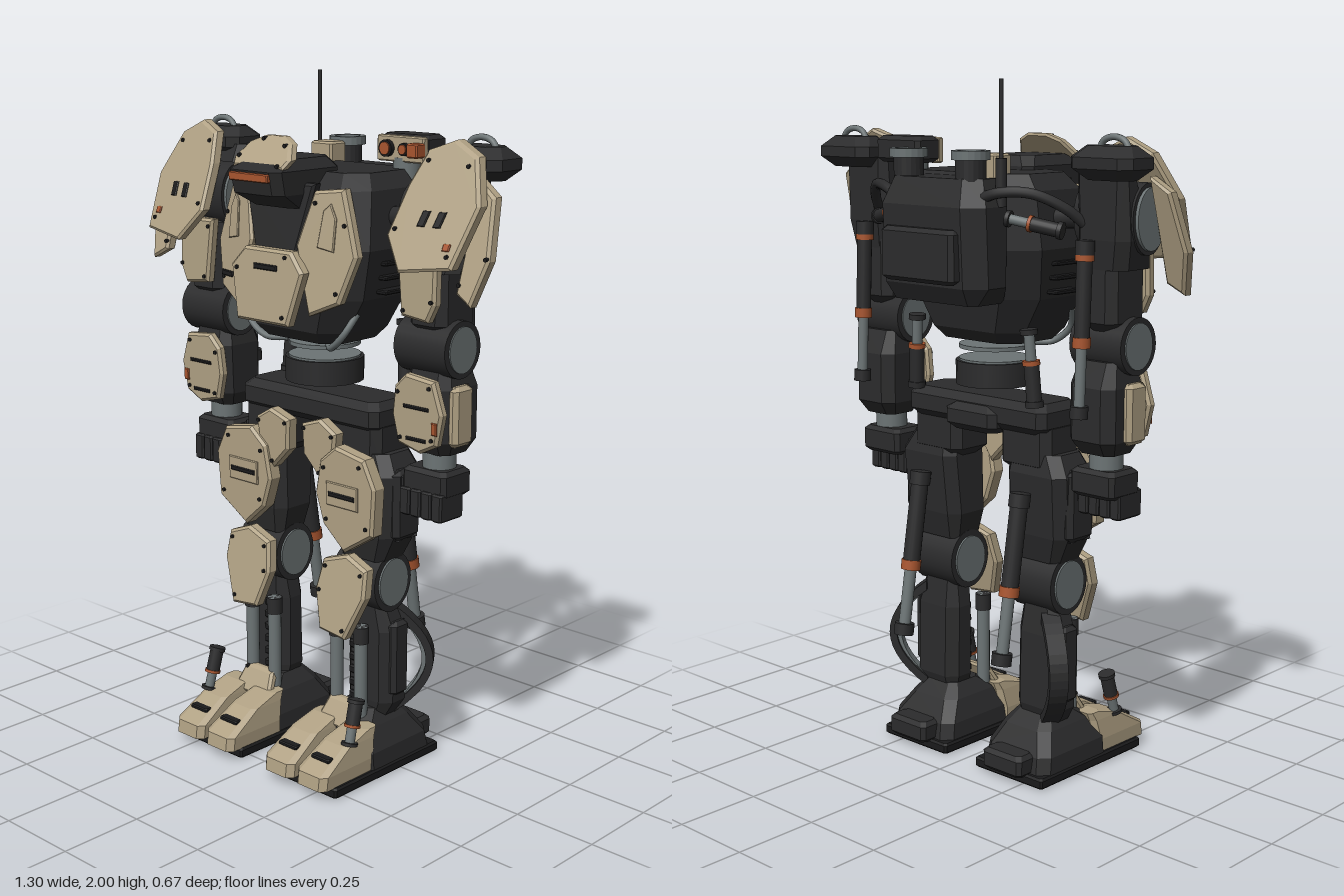
import * as THREE from 'three';

const paint = (name, color) => {
  const m = new THREE.MeshStandardMaterial({ color });
  m.name = name;
  return m;
};
const V = (x, y, z) => new THREE.Vector3(x, y, z);

// Stack of octagonal sections [y, centreX, halfWidth, zBack, zFront, cornerCut]
function loft(sections) {
  const rings = sections.map(([y, cx, h, a, b, c]) =>
    [[h, a + c], [h, b - c], [h - c, b], [c - h, b], [-h, b - c], [-h, a + c], [c - h, a], [h - c, a]]
      .map(([x, z]) => [cx + x, y, z]));
  const pos = [];
  const tri = (...p) => p.forEach((q) => pos.push(...q));
  const mid = ([y, cx, , a, b]) => [cx, y, (a + b) / 2];
  const last = rings.length - 1;
  for (let i = 0; i < 8; i++) {
    const j = (i + 1) % 8;
    for (let k = 0; k < last; k++) {
      const lo = rings[k], hi = rings[k + 1];
      tri(lo[i], hi[i], hi[j]);
      tri(lo[i], hi[j], lo[j]);
    }
    tri(mid(sections[0]), rings[0][i], rings[0][j]);
    tri(mid(sections[last]), rings[last][j], rings[last][i]);
  }
  const g = new THREE.BufferGeometry();
  g.setAttribute('position', new THREE.Float32BufferAttribute(pos, 3));
  g.computeVertexNormals();
  return g;
}

// Box with chamfered edges, given by its limits
function block(x0, x1, y0, y1, z0, z1, c = 0.012) {
  const cx = (x0 + x1) / 2, h = (x1 - x0) / 2;
  return loft([[y0, cx, h - c, z0 + c, z1 - c, c], [y0 + c, cx, h, z0, z1, c],
    [y1 - c, cx, h, z0, z1, c], [y1, cx, h - c, z0 + c, z1 - c, c]]);
}

// Cylinder between two points
function rod(a, b, r, sides = 18) {
  const d = b.clone().sub(a);
  const g = new THREE.CylinderGeometry(r, r, d.length(), sides);
  g.applyQuaternion(new THREE.Quaternion().setFromUnitVectors(V(0, 1, 0), d.normalize()));
  const m = a.clone().add(b).multiplyScalar(0.5);
  return g.translate(m.x, m.y, m.z);
}

// Oval joint drum lying along x at z = 0
const drum = (x0, x1, y, ry, rz) => rod(V(x0, 0, 0), V(x1, 0, 0), 1, 24).scale(1, ry, rz).translate(0, y, 0);

const hose = (points, r) =>
  new THREE.TubeGeometry(new THREE.CatmullRomCurve3(points.map((p) => V(...p))), 24, r, 10);

// Plane for a leaning plate: z from two heights, plus a sideways sweep
const lean = (y0, z0, y1, z1, cx = 0, k = 0) => (x, y) => z0 + (z1 - z0) * (y - y0) / (y1 - y0) + k * (x - cx);

// Bevelled plate with a front outline, laid on a leaning plane
function plateGeo(pts, zAt, t) {
  const b = Math.min(0.008, t / 3);
  const g = new THREE.ExtrudeGeometry(new THREE.Shape(pts.map(([x, y]) => new THREE.Vector2(x, y))),
    { depth: t - 2 * b, bevelThickness: b, bevelSize: b, bevelOffset: -b, bevelSegments: 1 });
  const p = g.attributes.position;
  for (let i = 0; i < p.count; i++) p.setZ(i, p.getZ(i) + b + zAt(p.getX(i), p.getY(i)));
  g.computeVertexNormals();
  return g;
}

// Curved guard bowed outwards and backwards behind the calf
function crescent(outer, inner, width) {
  const s = new THREE.Shape();
  s.moveTo(0, 0.49).quadraticCurveTo(outer, 0.325, 0, 0.15).lineTo(0, 0.18).quadraticCurveTo(inner, 0.325, 0, 0.46);
  return new THREE.ExtrudeGeometry(s, { depth: width, bevelEnabled: false, curveSegments: 14 })
    .translate(0, 0, -width / 2).rotateY(0.62).translate(0.25, 0, -0.045);
}

// Copy reflected in x, with its corners reordered
function mirrored(geo) {
  const g = geo.index ? geo.toNonIndexed() : geo.clone();
  g.scale(-1, 1, 1);
  for (const a of Object.values(g.attributes)) {
    const n = a.itemSize;
    for (let i = 0; i < a.count; i += 3) for (let k = 0; k < n; k++) {
      const p = (i + 1) * n + k, q = p + n, s = a.array[p];
      a.array[p] = a.array[q];
      a.array[q] = s;
    }
  }
  return g;
}

const rect = (x, y, w, h) => [[x - w / 2, y - h / 2], [x + w / 2, y - h / 2], [x + w / 2, y + h / 2], [x - w / 2, y + h / 2]];
const symmetric = (half) => [...half, ...half.map(([x, y]) => [-x, y]).reverse()];

export function createModel() {
  const root = new THREE.Group();
  root.name = 'walkerRobot';
  const tan = paint('tan armour', 0xb0a184), dark = paint('dark frame', 0x2b2b2c),
    black = paint('black trim', 0x1b1b1c), steel = paint('steel', 0x6c7475), orange = paint('orange', 0xa8552f);

  const one = (name, geo, mat) => {
    const m = new THREE.Mesh(geo, mat);
    m.name = name;
    root.add(m);
  };
  const two = (name, geo, mat) => {
    one(name + 'Left', geo, mat);
    one(name + 'Right', mirrored(geo), mat);
  };
  // Armour plate with bolts near alternate corners
  const armour = (put, name, pts, zAt, t) => {
    put(name, plateGeo(pts, zAt, t), tan);
    const cx = pts.reduce((s, p) => s + p[0], 0) / pts.length, cy = pts.reduce((s, p) => s + p[1], 0) / pts.length;
    pts.forEach(([px, py], i) => {
      if (i % 2) return;
      const x = cx + (px - cx) * 0.8, y = cy + (py - cy) * 0.8, z = zAt(x, y) + t;
      put(name + 'Bolt', rod(V(x, y, z - 0.01), V(x, y, z + 0.005), 0.006, 8), black);
    });
  };
  // Thin painted mark on the face of a plate
  const mark = (put, name, pts, zAt, t, mat) => put(name, plateGeo(pts, (x, y) => zAt(x, y) + t - 0.003, 0.008), mat);
  // Sleeve, ring, rod and end caps along one line
  const piston = (name, a, b, r) => {
    const at = (t) => V(...a).lerp(V(...b), t);
    two(name + 'Sleeve', rod(at(0), at(0.55), r), dark);
    two(name + 'Ring', rod(at(0.54), at(0.6), r * 1.15), orange);
    two(name + 'Rod', rod(at(0.58), at(0.97), r * 0.7), steel);
    two(name + 'Cap', rod(at(0), at(0.08), r * 1.2), dark);
    two(name + 'Cap', rod(at(0.93), at(1), r * 1.15), dark);
  };

  // Torso
  one('torso', loft([[1.265, 0, 0.15, -0.11, 0.12, 0.05], [1.3, 0, 0.18, -0.14, 0.15, 0.06],
    [1.4, 0, 0.24, -0.165, 0.17, 0.08], [1.54, 0, 0.268, -0.18, 0.165, 0.07],
    [1.7, 0, 0.25, -0.175, 0.13, 0.06], [1.745, 0, 0.215, -0.155, 0.09, 0.05]]), dark);
  one('throat', plateGeo(symmetric([[0.08, 1.52], [0.135, 1.72]]), lean(1.52, 0.16, 1.72, 0.14), 0.035), dark);
  const chestZ = lean(1.38, 0.178, 1.71, 0.135, 0.12, -0.27);
  armour(two, 'chestPlate', [[0.125, 1.7], [0.215, 1.71], [0.24, 1.63], [0.27, 1.53], [0.23, 1.4], [0.14, 1.36],
    [0.11, 1.46], [0.085, 1.55]], chestZ, 0.035);
  mark(two, 'chestPanel', [[0.155, 1.55], [0.205, 1.54], [0.205, 1.63], [0.185, 1.67], [0.165, 1.65]], chestZ, 0.037, tan);
  mark(one, 'chestSlot', rect(-0.2, 1.44, 0.06, 0.016), (x, y) => chestZ(-x, y), 0.035, black);
  const bellyZ = lean(1.33, 0.212, 1.54, 0.185);
  armour(one, 'bellyPlate', symmetric([[0.1, 1.33], [0.14, 1.48], [0.09, 1.535]]), bellyZ, 0.038);
  mark(one, 'bellySlot', rect(0, 1.485, 0.09, 0.016), bellyZ, 0.038, black);
  two('bellyHose', hose([[0.21, 1.36, 0.08], [0.185, 1.3, 0.11], [0.13, 1.255, 0.1], [0.08, 1.25, 0.06]], 0.01), steel);
  for (const y of [1.42, 1.46, 1.5]) two('sideLouvre', block(0.235, 0.279, y - 0.006, y + 0.006, -0.06, 0.04, 0.003), black);

  // Head
  one('head', loft([[1.65, 0, 0.085, 0.02, 0.2, 0.02], [1.69, 0, 0.098, 0.02, 0.275, 0.025],
    [1.755, 0, 0.1, 0.02, 0.29, 0.025], [1.785, 0, 0.08, 0.04, 0.23, 0.03]]), dark);
  one('visor', block(-0.075, 0.075, 1.726, 1.75, 0.28, 0.297, 0.003), orange);
  armour(one, 'brow', symmetric([[0.095, 1.76], [0.108, 1.785], [0.08, 1.825], [0.035, 1.843]]), lean(1.76, 0.23, 1.843, 0.16), 0.035);

  // Backpack with open exhausts
  one('backpack', loft([[1.39, 0, 0.16, -0.27, -0.13, 0.02], [1.44, 0, 0.2, -0.3, -0.13, 0.05],
    [1.66, 0, 0.2, -0.31, -0.13, 0.05], [1.735, 0, 0.17, -0.28, -0.13, 0.04]]), dark);
  one('backpackHatch', block(-0.14, 0.14, 1.45, 1.6, -0.335, -0.29), dark);
  const ringGeo = (r0, r1, y0, y1) => new THREE.LatheGeometry(
    [[r0, y0], [r1, y0], [r1, y1], [r0, y1], [r0, y0]].map(([r, y]) => new THREE.Vector2(r, y)), 20)
    .toNonIndexed().translate(0.12, 0, -0.235);
  for (const [name, r0, r1, y0, y1, mat] of [['exhaustPipe', 0.036, 0.043, 1.7, 1.79, dark], ['exhaustRim', 0.037, 0.054, 1.785, 1.81, steel]]) {
    const g = ringGeo(r0, r1, y0, y1);
    g.computeVertexNormals();
    two(name, g, mat);
  }
  two('exhaustGlow', rod(V(0.12, 1.72, -0.235), V(0.12, 1.745, -0.235), 0.037), orange);

  // Sensor pod, roof box and antenna
  one('sensorPost', rod(V(0.195, 1.68, -0.14), V(0.195, 1.775, -0.14), 0.04), steel);
  one('sensorPod', block(0.11, 0.285, 1.765, 1.84, -0.21, -0.115), dark);
  one('sensorFace', block(0.113, 0.286, 1.763, 1.836, -0.125, -0.103, 0.004), tan);
  for (const [x, r] of [[0.155, 0.024], [0.22, 0.018]]) {
    one('lensRing', rod(V(x, 1.8, -0.11), V(x, 1.8, -0.09), r), black);
    one('lens', rod(V(x, 1.8, -0.1), V(x, 1.8, -0.086), r * 0.75), orange);
  }
  one('rangeFinder', block(0.248, 0.288, 1.78, 1.82, -0.11, -0.07, 0.004), orange);
  one('roofBox', block(-0.165, -0.08, 1.72, 1.8, -0.187, -0.12, 0.006), tan);
  one('antennaBase', rod(V(-0.195, 1.66, -0.195), V(-0.195, 1.79, -0.195), 0.016), dark);
  one('antenna', rod(V(-0.195, 1.78, -0.195), V(-0.195, 2, -0.195), 0.006, 8), dark);

  // Waist and pelvis
  one('waist', rod(V(0, 1.13, -0.01), V(0, 1.2, -0.01), 0.115, 24), dark);
  one('waistTop', rod(V(0, 1.195, -0.01), V(0, 1.206, -0.01), 0.106, 24), steel);
  one('waistRing', rod(V(0, 1.235, -0.01), V(0, 1.247, -0.01), 0.105, 24), steel);
  one('pelvis', block(-0.27, 0.27, 1.015, 1.105, -0.11, 0.075, 0.022), dark);
  one('pelvisBack', block(-0.1, 0.1, 1.0, 1.08, -0.13, 0.02, 0.02), dark);
  piston('waistPiston', [0.235, 1.1, -0.1], [0.22, 1.32, -0.11], 0.022);

  // Shoulders
  two('shoulderCore', loft([[1.5, 0.45, 0.08, -0.09, 0.06, 0.03], [1.58, 0.455, 0.09, -0.1, 0.04, 0.03],
    [1.78, 0.455, 0.085, -0.1, -0.04, 0.02]]), dark);
  two('shoulderRing', drum(0.345, 0.55, 1.635, 0.097, 0.07), dark);
  two('shoulderDisc', drum(0.335, 0.56, 1.635, 0.085, 0.06), steel);
  two('shoulderAxle', rod(V(0.2, 1.62, -0.03), V(0.35, 1.63, -0.01), 0.03), dark);
  two('shoulderBox', block(0.39, 0.6, 1.74, 1.83, -0.165, -0.02, 0.03), dark);
  two('liftingHandle', hose([[0.445, 1.81, -0.09], [0.465, 1.842, -0.09], [0.5, 1.852, -0.09], [0.535, 1.842, -0.09], [0.555, 1.81, -0.09]], 0.009), steel);
  two('shoulderHose', hose([[0.16, 1.68, -0.25], [0.22, 1.7, -0.235], [0.3, 1.7, -0.19], [0.37, 1.66, -0.13], [0.4, 1.62, -0.09]], 0.015), dark);
  piston('shoulderPiston', [0.36, 1.6, -0.13], [0.21, 1.63, -0.19], 0.02);
  const shoulderZ = lean(1.52, 0.122, 1.84, -0.03, 0.48, -0.1);
  armour(two, 'shoulderPlate', [[0.36, 1.6], [0.38, 1.73], [0.41, 1.82], [0.49, 1.85], [0.57, 1.81], [0.62, 1.69],
    [0.59, 1.53], [0.43, 1.51]], shoulderZ, 0.042);
  armour(two, 'shoulderFlap', [[0.57, 1.75], [0.63, 1.71], [0.652, 1.55], [0.62, 1.43], [0.565, 1.46]], lean(1.74, -0.03, 1.46, 0.055), 0.04);
  for (const x of [0.465, 0.515]) mark(two, 'shoulderSlot', [[x - 0.015, 1.63], [x + 0.008, 1.63], [x + 0.015, 1.67], [x - 0.008, 1.67]], shoulderZ, 0.042, black);
  mark(two, 'shoulderTag', rect(0.56, 1.585, 0.022, 0.018), shoulderZ, 0.042, orange);

  // Arms
  two('upperArm', block(0.37, 0.5, 1.33, 1.58, -0.09, 0.065, 0.025), dark);
  armour(two, 'upperArmPlate', [[0.36, 1.57], [0.5, 1.57], [0.5, 1.42], [0.475, 1.37], [0.38, 1.38]], lean(1.37, 0.065, 1.57, 0.06), 0.035);
  two('elbow', drum(0.34, 0.52, 1.29, 0.08, 0.077), dark);
  two('elbowCap', drum(0.336, 0.524, 1.29, 0.065, 0.058), steel);
  two('forearm', loft([[0.99, 0.43, 0.06, -0.08, 0.03, 0.02], [1.03, 0.43, 0.08, -0.11, 0.055, 0.03],
    [1.18, 0.43, 0.08, -0.11, 0.06, 0.03], [1.25, 0.43, 0.065, -0.08, 0.04, 0.02]]), dark);
  const foreZ = lean(1.0, 0.05, 1.22, 0.055);
  armour(two, 'forearmPlate', [[0.35, 1.18], [0.39, 1.22], [0.49, 1.21], [0.52, 1.12], [0.5, 1.03], [0.44, 1.0],
    [0.36, 1.02], [0.34, 1.1]], foreZ, 0.032);
  mark(two, 'forearmSlot', rect(0.43, 1.13, 0.09, 0.01), foreZ, 0.032, black);
  mark(two, 'forearmSlot', rect(0.43, 1.04, 0.07, 0.01), foreZ, 0.032, black);
  mark(two, 'forearmTag', rect(0.495, 1.08, 0.02, 0.035), foreZ, 0.032, orange);
  two('forearmSidePlate', block(0.495, 0.53, 1.02, 1.19, -0.045, 0.035, 0.012), tan);
  piston('armPiston', [0.43, 1.58, -0.12], [0.43, 1.1, -0.14], 0.022);
  two('armPistonCollar', rod(V(0.43, 1.525, -0.122), V(0.43, 1.545, -0.121), 0.026), orange);
  two('wrist', rod(V(0.43, 0.93, -0.02), V(0.43, 1.0, -0.02), 0.048), steel);
  two('hand', block(0.345, 0.5, 0.865, 0.945, -0.08, 0.045, 0.012), dark);
  for (let i = 0; i < 4; i++) two('finger', block(0.346 + i * 0.0385, 0.383 + i * 0.0385, 0.805, 0.885, -0.045, 0.055, 0.005), dark);
  two('thumb', block(0.325, 0.352, 0.83, 0.91, -0.03, 0.03, 0.007), dark);

  // Thighs
  two('hip', block(0.08, 0.27, 0.9, 1.06, -0.09, 0.065, 0.025), dark);
  two('thigh', loft([[0.64, 0.2, 0.08, -0.06, 0.06, 0.02], [0.72, 0.21, 0.11, -0.08, 0.075, 0.03],
    [0.9, 0.215, 0.11, -0.095, 0.075, 0.03], [0.96, 0.2, 0.09, -0.08, 0.06, 0.03]]), dark);
  two('thighSidePanel', block(0.3, 0.335, 0.71, 0.92, -0.06, 0.05, 0.015), dark);
  const thighZ = lean(0.67, 0.075, 1.0, 0.08);
  armour(two, 'thighPlate', [[0.11, 0.93], [0.17, 0.98], [0.28, 0.96], [0.32, 0.88], [0.31, 0.74], [0.2, 0.67],
    [0.12, 0.74], [0.09, 0.83]], thighZ, 0.052);
  mark(two, 'thighPanel', rect(0.2, 0.84, 0.12, 0.07), thighZ, 0.052, tan);
  mark(two, 'thighSlot', rect(0.2, 0.84, 0.1, 0.014), thighZ, 0.056, black);
  armour(two, 'hipPlate', [[0.025, 1.02], [0.1, 1.045], [0.16, 1.01], [0.15, 0.94], [0.095, 0.865], [0.03, 0.93]], lean(0.87, 0.07, 1.04, 0.075), 0.045);
  piston('legPiston', [0.2, 0.85, -0.12], [0.2, 0.36, -0.2], 0.026);

  // Knees and shins
  two('knee', drum(0.115, 0.28, 0.57, 0.09, 0.08), dark);
  two('kneeCap', drum(0.109, 0.286, 0.57, 0.072, 0.062), steel);
  armour(two, 'kneePlate', [[0.11, 0.63], [0.2, 0.66], [0.28, 0.63], [0.285, 0.55], [0.23, 0.42], [0.13, 0.43], [0.095, 0.54]],
    lean(0.43, 0.115, 0.66, 0.07), 0.042);
  two('shin', loft([[0.14, 0.2, 0.06, -0.05, 0.035, 0.02], [0.2, 0.21, 0.085, -0.07, 0.042, 0.03],
    [0.42, 0.21, 0.085, -0.065, 0.042, 0.03], [0.52, 0.2, 0.06, -0.05, 0.04, 0.02]]), dark);
  two('shinSidePanel', block(0.27, 0.305, 0.22, 0.45, -0.05, 0.02, 0.012), dark);
  for (let i = 0; i < 6; i++) two('shinRib', block(0.155, 0.2, 0.19 + i * 0.04, 0.215 + i * 0.04, 0.03, 0.052, 0.005), black);
  for (const x of [0.13, 0.225]) {
    two('shinRod', rod(V(x, 0.14, 0.075), V(x, 0.44, 0.075), 0.02), steel);
    two('shinRodSleeve', rod(V(x, 0.39, 0.075), V(x, 0.44, 0.075), 0.024), dark);
  }
  two('calfGuard', crescent(0.235, 0.19, 0.055), dark);
  two('calfGuardLiner', crescent(0.2, 0.165, 0.035), steel);

  // Feet
  two('sole', block(0.06, 0.325, 0, 0.032, -0.165, 0.29, 0.006), black);
  two('foot', loft([[0.03, 0.195, 0.125, -0.15, 0.15, 0.03], [0.08, 0.195, 0.12, -0.14, 0.15, 0.03],
    [0.14, 0.19, 0.09, -0.1, 0.12, 0.03], [0.18, 0.19, 0.06, -0.06, 0.06, 0.02]]), dark);
  two('heel', block(0.12, 0.27, 0.025, 0.09, -0.2, -0.12, 0.012), dark);
  for (const x of [0.125, 0.255]) {
    two('toe', loft([[0.03, x, 0.058, 0.1, 0.33, 0.018], [0.07, x, 0.058, 0.1, 0.325, 0.018],
      [0.13, x, 0.05, 0.09, 0.22, 0.015], [0.155, x, 0.045, 0.08, 0.13, 0.012]]), tan);
    two('toeSlot', block(x - 0.035, x + 0.035, 0.096, 0.108, 0.25, 0.282, 0.003), black);
  }
  armour(two, 'anklePlate', [[0.1, 0.13], [0.25, 0.13], [0.235, 0.205], [0.12, 0.205]], lean(0.13, 0.11, 0.2, 0.07), 0.03);
  piston('anklePiston', [0.29, 0.26, 0.165], [0.295, 0.13, 0.2], 0.021);
  return root;
}
